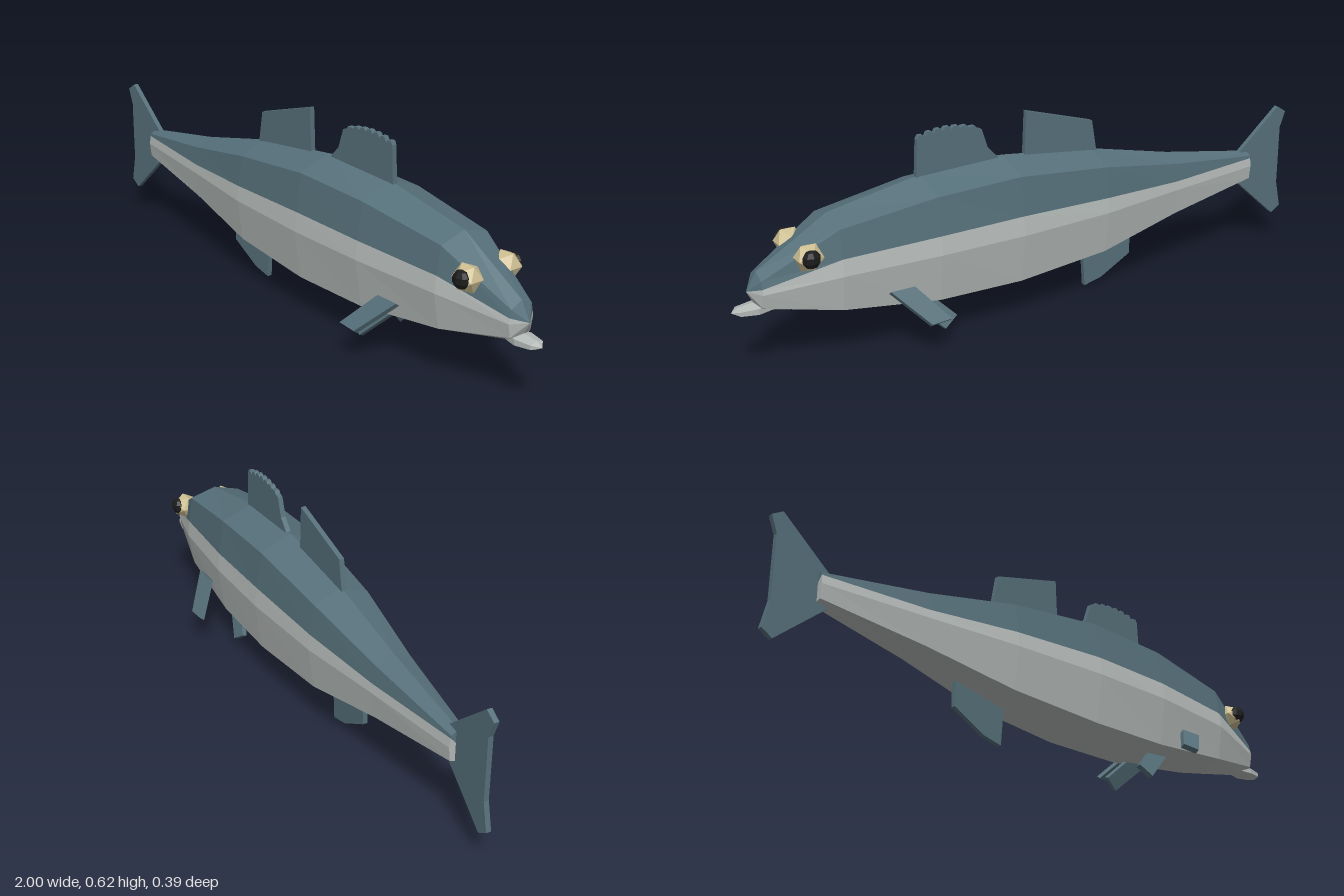
import * as THREE from 'three';

const mat = (name, color) => {
  const m = new THREE.MeshStandardMaterial({ color, flatShading: true });
  m.name = name;
  return m;
};

export function createModel() {
  const fish = new THREE.Group();
  const back = mat('slate back', 0x56707a);
  const belly = mat('silver belly', 0xb4bab8);
  const iris = mat('sand iris', 0xcdbf92);
  const black = mat('black pupil', 0x1c1c1c);
  const add = (name, geo, material, parent = fish) => {
    const mesh = new THREE.Mesh(geo, material);
    mesh.name = name;
    parent.add(mesh);
    return mesh;
  };

  // Body sections: x, half width, then heights of top, shoulder, colour line, middle, lower edge, bottom
  const sections = [
    [-0.84, 0.029, 0.338, 0.326, 0.318, 0.29, 0.246, 0.238],
    [-0.5, 0.07, 0.395, 0.37, 0.313, 0.285, 0.2, 0.185],
    [-0.2, 0.11, 0.462, 0.425, 0.328, 0.28, 0.145, 0.12],
    [0.12, 0.13, 0.5, 0.46, 0.34, 0.28, 0.125, 0.093],
    [0.4, 0.13, 0.49, 0.452, 0.337, 0.28, 0.13, 0.1],
    [0.7, 0.106, 0.435, 0.41, 0.325, 0.275, 0.165, 0.137],
    [0.92, 0.047, 0.305, 0.287, 0.264, 0.248, 0.206, 0.186],
  ];
  const ring = ([x, w, top, sh, line, mid, low, bot]) => {
    const s = 0.82 * w;
    const zLine = w + (s - w) * (line - mid) / (sh - mid);
    const half = [[top, 0], [sh, s], [line, zLine], [mid, w], [low, s], [bot, 0]];
    const mirror = half.slice(1, -1).reverse().map(([y, z]) => [y, -z]);
    return [...half, ...mirror].map(([y, z]) => [x, y, z]);
  };
  const rings = sections.map(ring);
  const isBack = (j) => j < 2 || j > 7;
  const skin = { true: [], false: [] };
  const nose = [0.952, 0.25, 0];
  const tailCentre = [-0.84, 0.29, 0];
  for (let j = 0; j < 10; j++) {
    const k = (j + 1) % 10;
    const out = skin[isBack(j)];
    for (let i = 0; i < rings.length - 1; i++) {
      const [a, b, c, d] = [rings[i][j], rings[i][k], rings[i + 1][k], rings[i + 1][j]];
      out.push(a, b, c, a, c, d);
    }
    const end = rings[rings.length - 1];
    out.push(end[j], end[k], nose, rings[0][k], rings[0][j], tailCentre);
  }
  const skinGeo = (tris) => {
    const g = new THREE.BufferGeometry();
    g.setAttribute('position', new THREE.Float32BufferAttribute(tris.flat(), 3));
    g.computeVertexNormals();
    return g;
  };
  add('upperBody', skinGeo(skin.true), back);
  add('lowerBody', skinGeo(skin.false), belly);

  // Flat fins, centred on their own plane
  const T = 0.016;
  const finGeo = (pts) => new THREE.ExtrudeGeometry(
    new THREE.Shape(pts.map(([x, y]) => new THREE.Vector2(x, y))),
    { depth: T, bevelEnabled: false },
  ).translate(0, 0, -T / 2);

  add('tailFin', finGeo([[-0.8, 0.335], [-0.965, 0.475], [-1, 0.453], [-0.98, 0.4],
    [-0.98, 0.2], [-1, 0.112], [-0.965, 0.09], [-0.8, 0.235]]), back);
  add('rearDorsalFin', finGeo([[-0.22, 0.44], [-0.2, 0.555], [0.04, 0.625], [0.047, 0.47]]), back);
  add('analFin', finGeo([[-0.355, 0.18], [-0.355, 0.075], [-0.245, 0.015], [-0.18, 0], [-0.17, 0.14]]), back);

  // Front dorsal fin with a scalloped crest
  const crest = [[0.14, 0.47], [0.14, 0.498], [0.175, 0.535], [0.195, 0.595]];
  for (let i = 0; i < 7; i++) {
    const x = 0.21 + i * 0.029;
    const y = 0.622 - 1.6 * (x - 0.3) ** 2;
    crest.push([x, y - 0.009], [x + 0.007, y], [x + 0.02, y]);
  }
  crest.push([0.41, 0.6], [0.418, 0.46]);
  add('frontDorsalFin', finGeo(crest), back);

  // Paired fins and eyes
  const pectoral = [[0.49, 0], [0.567, 0], [0.475, -0.122], [0.41, -0.118]];
  const pelvic = [[0.405, 0.01], [0.485, 0.01], [0.375, -0.102], [0.33, -0.07]];
  for (const [side, s] of [['left', 1], ['right', -1]]) {
    // The model's head points along x, so the pairs sit at plus and minus z
    const p = add(side + 'PectoralFin', finGeo(pectoral), back);
    p.position.set(0, 0.197, s * 0.116);
    p.rotation.x = -s * 0.66;
    const v = add(side + 'PelvicFin', finGeo(pelvic), back);
    v.position.set(0, 0.116, s * 0.047);
    v.rotation.x = -s * 0.35;

    const eye = new THREE.Group();
    eye.name = side + 'Eye';
    eye.position.set(0.79, 0.343, s * 0.073);
    add('iris', new THREE.IcosahedronGeometry(0.044, 0), iris, eye);
    const pupil = add('pupil', new THREE.SphereGeometry(0.028, 8, 5), black, eye);
    pupil.position.set(0.003, 0.004, s * 0.027);
    pupil.scale.z = 0.75;
    fish.add(eye);
  }

  // Lower lip
  const lip = add('lip', new THREE.SphereGeometry(1, 6, 4).rotateZ(-Math.PI / 2), belly);
  lip.scale.set(0.07, 0.018, 0.038);
  lip.position.set(0.93, 0.196, 0);

  return fish;
}
